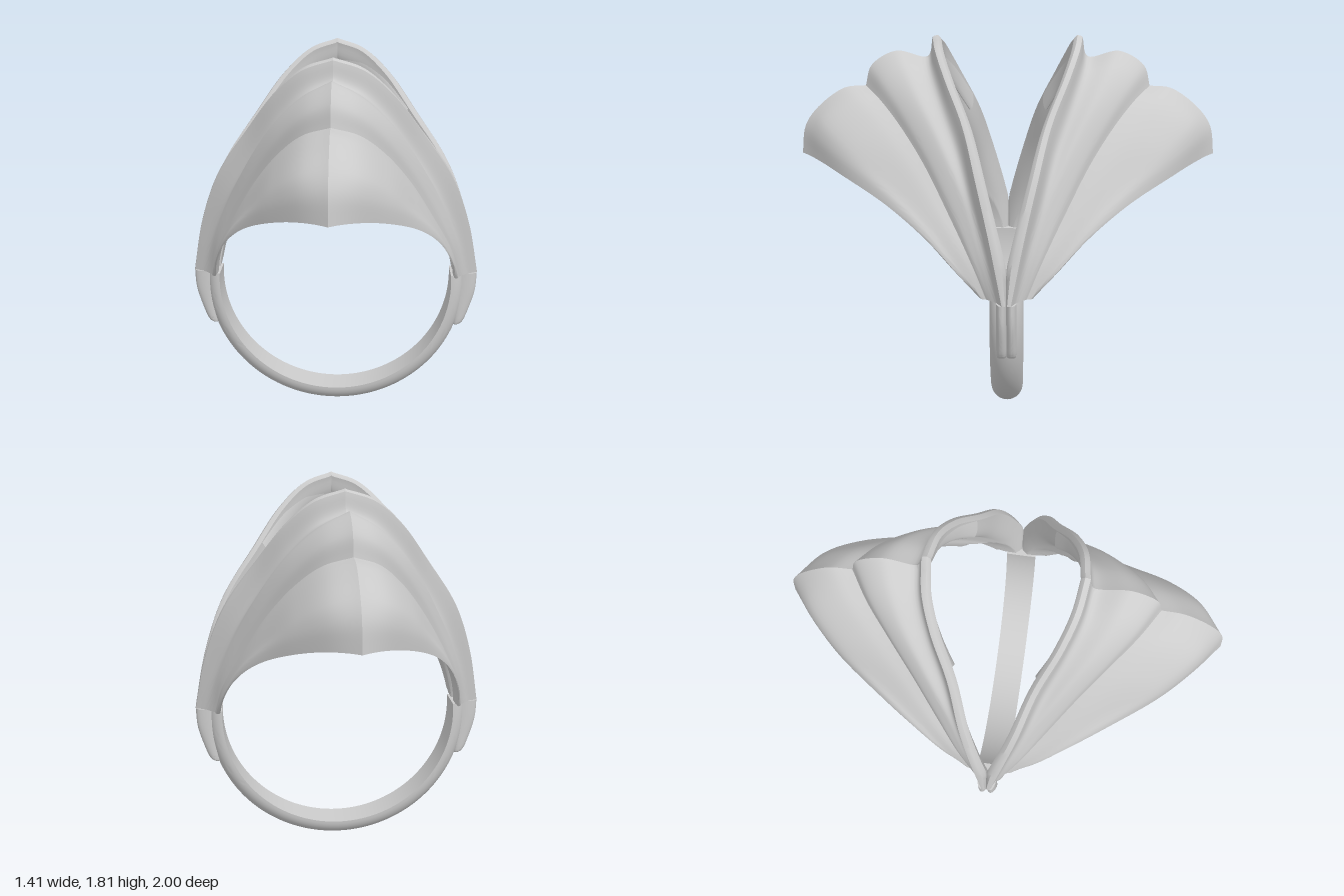
import * as THREE from 'three';
import { toCreasedNormals } from 'three/addons/utils/BufferGeometryUtils.js';

const V = (p) => new THREE.Vector3(...p);
const CY = 0.655; // height of the finger-hole axis
const HOLE = 0.585; // radius the petals keep clear of

// Skin a list of closed cross-sections, with optional fan caps
function loft(sections, capStart, capEnd) {
  const n = sections[0].length, pos = [], idx = [];
  sections.forEach((s) => s.forEach((p) => pos.push(p.x, p.y, p.z)));
  for (let i = 0; i < sections.length - 1; i++) {
    for (let j = 0; j < n; j++) {
      const a = i * n + j, b = i * n + (j + 1) % n;
      idx.push(a, b, a + n, b, b + n, a + n);
    }
  }
  const cap = (row, flip) => {
    const c = new THREE.Vector3();
    sections[row].forEach((p) => c.addScaledVector(p, 1 / n));
    const k = pos.length / 3;
    pos.push(c.x, c.y, c.z);
    for (let j = 0; j < n; j++) {
      const a = row * n + j, b = row * n + (j + 1) % n;
      if (flip) idx.push(k, b, a); else idx.push(k, a, b);
    }
  };
  if (capStart) cap(0, true);
  if (capEnd) cap(sections.length - 1, false);
  const g = new THREE.BufferGeometry();
  g.setAttribute('position', new THREE.Float32BufferAttribute(pos, 3));
  g.setIndex(idx);
  return toCreasedNormals(g, 0.7);
}

// Long guide lines of half a petal, from the centre peak down to the shoulder
const CREST = [[0, 1.8, .355], [.14, 1.75, .335], [.27, 1.635, .285], [.41, 1.445, .2], [.56, 1.215, .135], [.65, .97, .075], [.705, .7, .02]];
const FLUTE = [[0, 1.71, .38], [.13, 1.65, .36], [.25, 1.53, .31], [.38, 1.34, .23], [.51, 1.12, .16], [.6, .9, .095], [.655, .7, .045]];
const PLEAT = [[0, 1.735, .53], [.12, 1.665, .49], [.24, 1.55, .42], [.36, 1.38, .32], [.485, 1.14, .21], [.58, .9, .13], [.63, .7, .07]];
const CREASE = [[0, 1.57, .68], [.12, 1.52, .6], [.23, 1.42, .5], [.35, 1.26, .38], [.47, 1.05, .26], [.565, .86, .16], [.61, .7, .09]];
const LOBE = [[0, 1.465, .915], [.13, 1.41, .86], [.25, 1.32, .735], [.375, 1.17, .535], [.49, 1.0, .35], [.572, .82, .205], [.605, .7, .11]];
const EDGE = [[0, 1.245, 1], [.135, 1.23, .89], [.265, 1.18, .755], [.41, 1.075, .54], [.51, .95, .365], [.57, .81, .225], [.59, .7, .12]];

// Extra guide line between two others, swelling outward and fading to the shoulder
const between = (a, b, f, dy, dz) => a.map((p, i) => {
  const k = 1 - i / (a.length - 1);
  return V(p).lerp(V(b[i]), f).add(new THREE.Vector3(0, dy * k, dz * k)).toArray();
});
const line = (pts) => new THREE.CatmullRomCurve3(pts.map(V));

// Move a point radially onto the finger-hole cylinder
function ontoHole(p) {
  const k = HOLE / Math.hypot(p.x, p.y - CY);
  p.x *= k;
  p.y = CY + (p.y - CY) * k;
}

function halfPetal() {
  const upper = [CREST, FLUTE, PLEAT, between(PLEAT, CREASE, 0.6, .03, .03), CREASE].map(line);
  const lower = [CREASE, between(CREASE, LOBE, 0.4, .03, .01), LOBE, between(LOBE, EDGE, 0.5, .02, .022), EDGE].map(line);
  const M = 48, N1 = 28, N2 = 20, last = N1 + N2;

  // Outer skin as a grid of points, its lower edge lying on the finger hole
  const grid = [];
  for (let i = 0; i <= M; i++) {
    const at = (set) => new THREE.CatmullRomCurve3(set.map((c) => c.getPoint(i / M)));
    const row = at(upper).getPoints(N1).concat(at(lower).getPoints(N2).slice(1));
    if (i < M) ontoHole(row[last]);
    grid.push(row);
  }

  // Inner skin offset along the normals, kept clear of the finger hole
  const sections = grid.map((row, i) => {
    const thick = 0.042 + 0.02 * (i / M) ** 4;
    const inner = row.map((p, j) => {
      const ds = row[Math.min(j + 1, last)].clone().sub(row[Math.max(j - 1, 0)]);
      const dt = grid[Math.min(i + 1, M)][j].clone().sub(grid[Math.max(i - 1, 0)][j]);
      const n = ds.cross(dt);
      if (i === 0) n.x = 0;
      if (i === M) n.y = 0;
      const q = p.clone().addScaledVector(n.normalize(), -thick);
      if (Math.hypot(q.x, q.y - CY) < HOLE) ontoHole(q);
      q.x = Math.max(q.x, 0);
      q.z = Math.max(q.z, 0);
      return q;
    });
    // Rounded crest rim joining the inner skin back to the outer
    const up = row[0].clone().sub(row[1]);
    if (i === 0) up.x = 0;
    if (i === M) up.y = 0;
    up.normalize();
    const rim = [0.15, 0.5, 0.85].map((f) => {
      const q = inner[0].clone().lerp(row[0], f).addScaledVector(up, 0.014 * Math.sin(Math.PI * f));
      q.z = Math.max(q.z, 0);
      return q;
    });
    return [...row, ...inner.reverse(), ...rim];
  });
  return loft(sections, false, true);
}

// Hem strip under the middle of the crest, ending bluntly on each side
function hemGeometry() {
  const crest = line(CREST), sections = [];
  for (let i = 0; i <= 20; i++) {
    const p = crest.getPoint(0.45 * i / 20);
    const d = new THREE.Vector3(-p.x, 0.9 - p.y, 0).normalize();
    const ring = [];
    for (let j = 0; j < 16; j++) {
      const a = Math.PI * 2 * j / 16;
      const q = p.clone().addScaledVector(d, 0.065 + 0.055 * Math.sin(a));
      q.z += -0.012 - 0.018 * i / 20 + 0.016 * Math.cos(a);
      ring.push(q);
    }
    sections.push(ring);
  }
  return loft(sections, false, true);
}

// Open band: flat inside, rounded outside, slimmer towards the shoulders
function bandGeometry() {
  const sections = [], end = Math.PI / 2 + 0.075;
  for (let i = 0; i <= 96; i++) {
    const phi = -end + 2 * end * i / 96, ring = [];
    const thick = 0.08 - 0.016 * (phi / end) ** 2;
    for (let j = 0; j <= 20; j++) {
      const a = -Math.PI / 2 + Math.PI * j / 20;
      const r = 0.575 + thick * Math.cos(a);
      ring.push(new THREE.Vector3(r * Math.sin(phi), CY - r * Math.cos(phi), -0.077 * Math.sin(a)));
    }
    sections.push(ring);
  }
  return loft(sections, true, true);
}

// Rounded tail running from a petal foot down the side of the band
function tailGeometry() {
  const outer = new THREE.SplineCurve([[.705, .7], [.698, .6], [.665, .49], [.64, .435], [.612, .42]].map((p) => new THREE.Vector2(...p)));
  const sections = outer.getPoints(24).map((p, i) => {
    const inX = 0.595, rx = (p.x - inX) / 2, ring = [];
    const rz = 0.024 * Math.sqrt(Math.max(1 - (i / 24) ** 6, 0.08));
    for (let j = 0; j < 20; j++) {
      const a = Math.PI * 2 * j / 20;
      ring.push(new THREE.Vector3(inX + rx + rx * Math.cos(a), p.y, 0.022 + rz * Math.sin(a)));
    }
    return ring;
  });
  return loft(sections, true, true);
}

export function createModel() {
  const model = new THREE.Group();
  model.name = 'petalRing';
  const material = new THREE.MeshStandardMaterial({ color: 0xcccccc, side: THREE.DoubleSide });
  const add = (parent, geometry, name, sx = 1) => {
    const mesh = new THREE.Mesh(geometry, material);
    mesh.name = name;
    mesh.scale.x = sx;
    parent.add(mesh);
  };

  add(model, bandGeometry(), 'band');

  // Front and back petals, each mirrored left to right
  const petal = halfPetal(), hem = hemGeometry(), tail = tailGeometry();
  for (const [name, sz] of [['front', 1], ['back', -1]]) {
    const group = new THREE.Group();
    group.name = name + 'Petal';
    group.scale.z = sz;
    for (const [side, sx] of [['Left', 1], ['Right', -1]]) {
      add(group, petal, name + side + 'PetalHalf', sx);
      add(group, hem, name + side + 'Hem', sx);
      add(group, tail, name + side + 'Tail', sx);
    }
    model.add(group);
  }
  return model;
}
